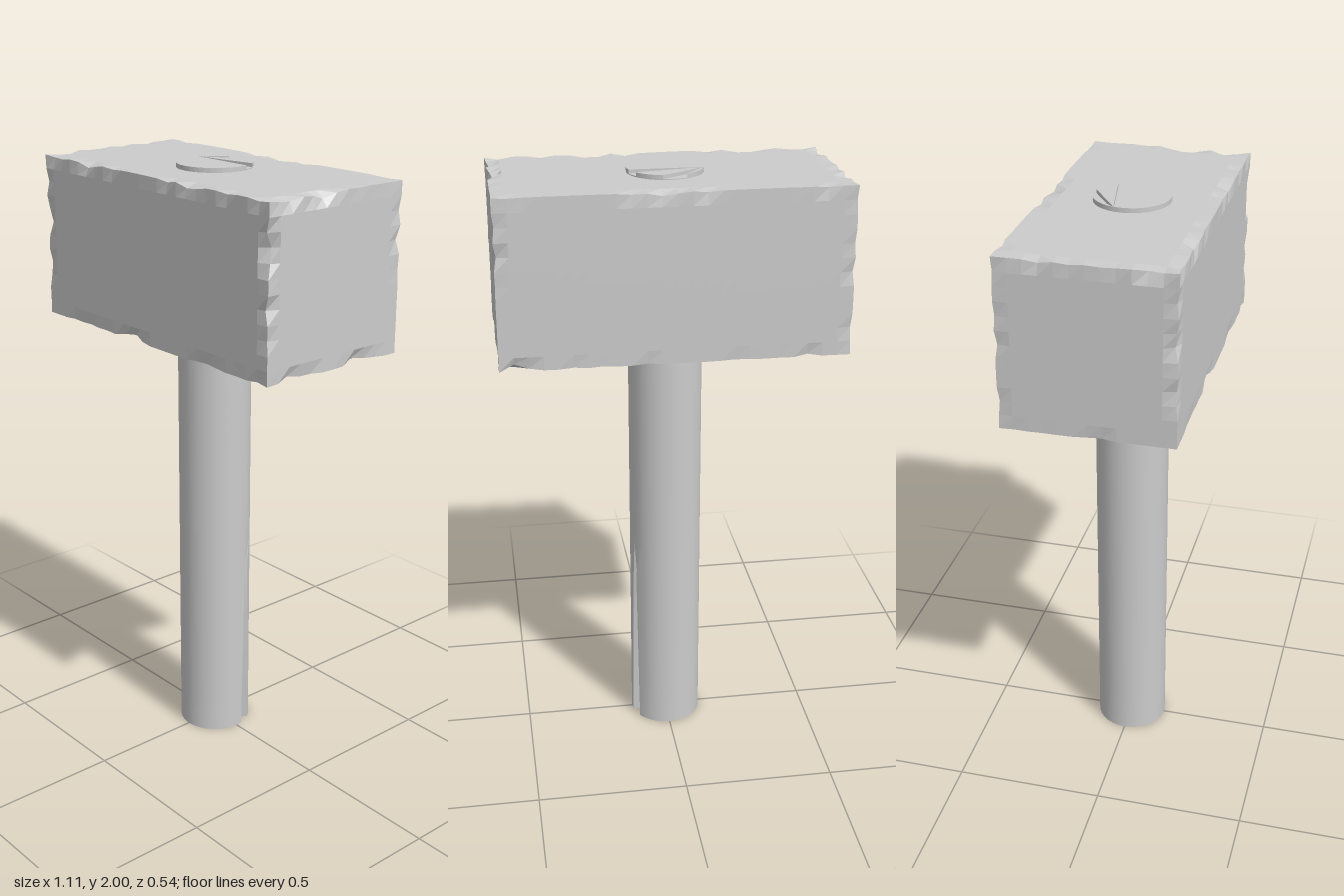
import * as THREE from 'three';
import { toCreasedNormals } from 'three/addons/utils/BufferGeometryUtils.js';

const R = 0.122;                       // handle radius
const HEAD = [1.105, 0.54, 0.54];      // head width, height, depth

// Repeatable 0..1 value for a position, so shared corners move together
function hash(x, y, z) {
  const s = Math.sin(Math.round(x * 1000) * 12.9898 + Math.round(y * 1000) * 78.233 + Math.round(z * 1000) * 37.719) * 43758.5453;
  return s - Math.floor(s);
}

// Move every vertex of a geometry by a rule
function reshape(geometry, rule) {
  const p = geometry.attributes.position;
  const v = new THREE.Vector3();
  for (let i = 0; i < p.count; i++) {
    rule(v.fromBufferAttribute(p, i));
    p.setXYZ(i, v.x, v.y, v.z);
  }
  return geometry;
}

// Block with chipped edges: [x, y, z, radius, depth] for the larger chips
function headGeometry() {
  const chips = [
    [0.55, 0.13, 0.27, 0.09, 0.035], [0.55, -0.05, 0.27, 0.05, 0.02],
    [-0.55, 0.05, 0.27, 0.07, 0.02], [-0.55, -0.1, 0.27, 0.06, 0.015],
    [0.55, 0.27, 0.05, 0.07, 0.03], [0.55, 0.27, 0.19, 0.06, 0.02],
    [-0.55, 0.27, 0.19, 0.05, 0.02], [0.2, 0.27, 0.27, 0.06, 0.02],
    [0.04, 0.27, -0.27, 0.07, 0.015], [-0.1, -0.27, 0.27, 0.07, 0.025],
    [0.55, -0.27, -0.1, 0.06, 0.025], [0.5, -0.27, -0.27, 0.06, 0.025],
    [0.55, -0.27, 0.17, 0.06, 0.02], [-0.32, 0.27, 0.27, 0.07, 0.02],
  ];
  const half = HEAD.map((s) => s / 2);
  const geometry = reshape(new THREE.BoxGeometry(...HEAD, 24, 12, 12), (v) => {
    const c = v.toArray();
    const outer = c.map((q, i) => half[i] - Math.abs(q) < 1e-4);
    const sides = outer.filter(Boolean).length;
    if (sides !== 2) return;
    const h = hash(...c);
    let depth = 0.012 * h ** 5;
    for (const [x, y, z, r, d] of chips) {
      const dist = Math.hypot(c[0] - x, c[1] - y, c[2] - z);
      if (dist < r) depth = Math.max(depth, d * (1 - dist / r));
    }
    const mix = 0.3 + 0.7 * hash(c[1], c[2], c[0]);
    let k = 0;
    v.fromArray(c.map((q, i) => (outer[i] ? q - Math.sign(q) * depth * (k++ ? mix : 1.2 - mix * 0.6) : q)));
  }).toNonIndexed();
  geometry.computeVertexNormals();
  return geometry;
}

// Round shaft with a tapering split rising from its foot
function handleGeometry(height) {
  const step = (Math.PI * 2) / 32;
  const split = 10 * step;
  const top = 0.71;
  const geometry = new THREE.CylinderGeometry(R, R, height, 32, 14).translate(0, height / 2, 0);
  reshape(geometry, (v) => {
    const radius = Math.hypot(v.x, v.z);
    if (v.y > top - 0.01 || radius < 0.01) return;
    const angle = Math.atan2(v.x, v.z);
    const off = angle - split;
    const t = v.y / top;
    if (Math.abs(off) < step * 0.5) {
      const r = R - 0.05 * (1 - t);
      v.set(Math.sin(angle) * r, v.y, Math.cos(angle) * r);
    } else if (Math.abs(off) < step * 1.5) {
      const a = split + off * (1 - 0.75 * t);
      v.set(Math.sin(a) * R, v.y, Math.cos(a) * R);
    }
  });
  return toCreasedNormals(geometry, 0.5);
}

// Piece of the round handle end, cut by a chord or by two lines from one point
function endPiece(from, to, apex) {
  const shape = new THREE.Shape();
  if (apex) shape.moveTo(...apex);
  for (let i = 0; i <= 24; i++) {
    const a = from + ((to - from) * i) / 24;
    const p = [Math.cos(a) * R, Math.sin(a) * R];
    if (i || apex) shape.lineTo(...p);
    else shape.moveTo(...p);
  }
  shape.closePath();
  return new THREE.ExtrudeGeometry(shape, { depth: 0.012, bevelEnabled: false }).rotateX(-Math.PI / 2);
}

export function createModel() {
  const group = new THREE.Group();
  const grey = new THREE.MeshStandardMaterial({ color: 0xcccccc });
  grey.name = 'grey';
  const add = (name, geometry, y = 0) => {
    const mesh = new THREE.Mesh(geometry, grey);
    mesh.name = name;
    mesh.position.y = y;
    group.add(mesh);
  };

  add('head', headGeometry(), 1.715);
  add('handle', handleGeometry(1.988));

  // Broken handle end standing just above the head
  const chord = Math.asin(0.03 / R);
  const apex = [-0.118, 0.03];
  add('handleEnd', endPiece(chord - Math.PI * 1 - 2 * chord, chord), 1.988);
  add('endSplinterLarge', endPiece(0.61, 1.38, apex), 1.988);
  add('endSplinterSmall', endPiece(2.03, 2.85, apex), 1.988);
  return group;
}
